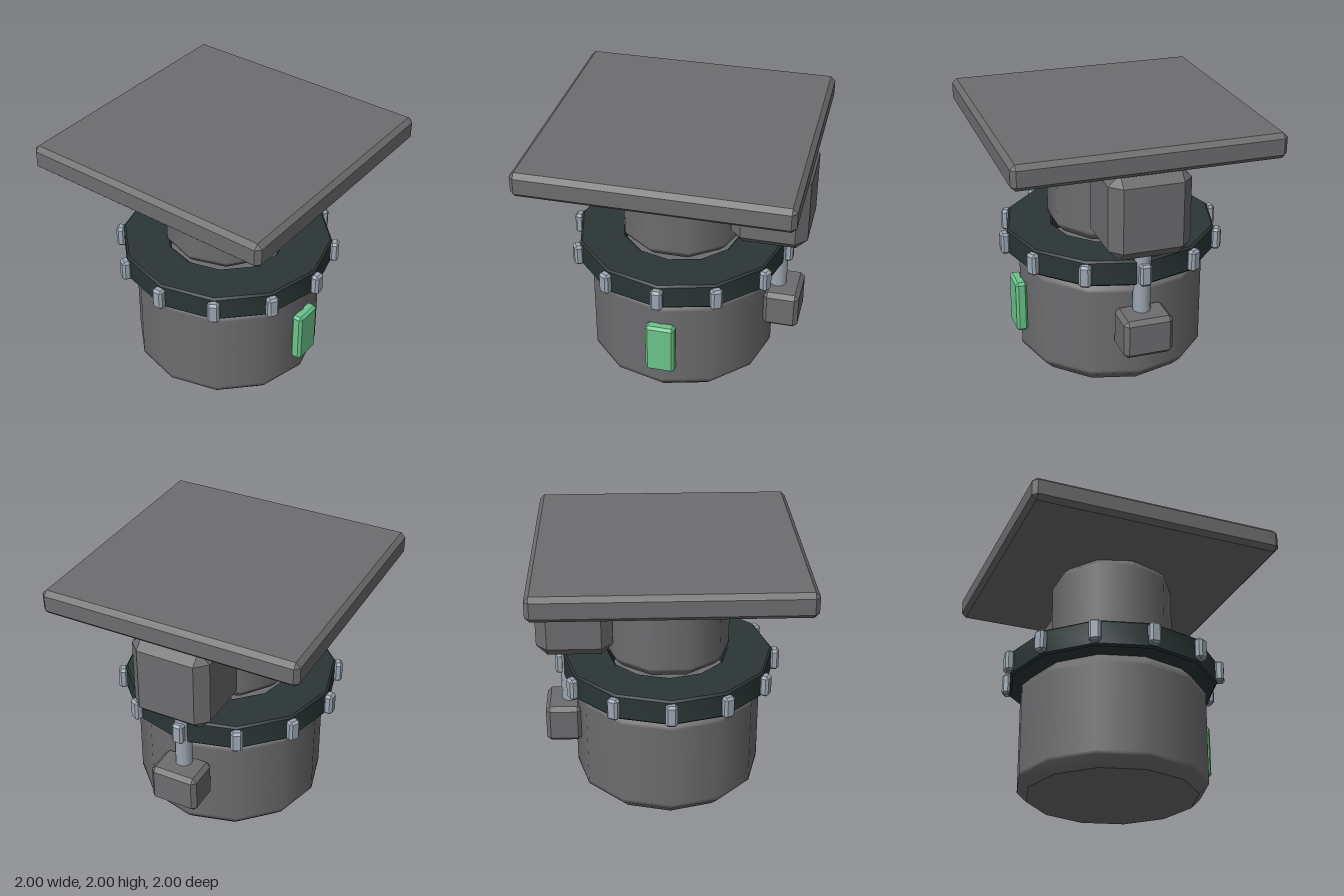
import * as THREE from 'three';
import { toCreasedNormals } from 'three/addons/utils/BufferGeometryUtils.js';
import { ConvexGeometry } from 'three/addons/geometries/ConvexGeometry.js';

const mat = (name, color) => {
  const m = new THREE.MeshStandardMaterial({ color });
  m.name = name;
  return m;
};

// Box with every edge chamfered by c, centred on the origin
function chamferBox(w, h, d, c) {
  const half = [w / 2, h / 2, d / 2];
  const points = [];
  for (const sx of [-1, 1]) for (const sy of [-1, 1]) for (const sz of [-1, 1])
    for (let full = 0; full < 3; full++) {
      const p = half.map((v, i) => (i === full ? v : v - c));
      points.push(new THREE.Vector3(p[0] * sx, p[1] * sy, p[2] * sz));
    }
  return new ConvexGeometry(points);
}

const lathe = (profile, sides) => new THREE.LatheGeometry(
  profile.map(([r, y]) => new THREE.Vector2(r, y)), sides, Math.PI / 2);

export function createModel() {
  const model = new THREE.Group();
  const grey = mat('body grey', 0x6d6d6f);
  const dark = mat('dark ring', 0x2b3636);
  const steel = mat('light steel', 0x9ca7b1);
  const green = mat('green panel', 0x6ac58a);

  const add = (name, geometry, material, x = 0, y = 0, z = 0, parent = model) => {
    const mesh = new THREE.Mesh(geometry, material);
    mesh.name = name;
    mesh.position.set(x, y, z);
    parent.add(mesh);
    return mesh;
  };

  // Smooth drum with chamfered rims and flat caps
  const drum = (name, r, y0, y1, c, sides, material, x = 0) => {
    const group = new THREE.Group();
    group.name = name;
    group.position.x = x;
    model.add(group);
    const e = c * 0.4;
    add(name + 'Wall', lathe([[r - c, y0], [r, y0 + c], [r, y0 + c + e],
      [r, y1 - c - e], [r, y1 - c], [r - c, y1]], sides), material, 0, 0, 0, group);
    for (const [y, s] of [[y0, 1], [y1, -1]]) {
      const cap = new THREE.CircleGeometry(r - c, sides).rotateX(s * Math.PI / 2);
      add(name + 'Cap', cap, material, 0, y, 0, group);
    }
  };

  // Main stack
  drum('baseDrum', 0.73, 0, 0.88, 0.075, 12, grey);
  drum('neckDrum', 0.48, 1.07, 1.82, 0.055, 10, grey);
  add('topPlate', chamferBox(2, 0.19, 2, 0.035), grey, 0, 1.905, 0);

  // Collar ring with a small chamfer on its edges
  const ring = lathe([[0.46, 0.89], [0.475, 0.875], [0.805, 0.875], [0.82, 0.89],
    [0.82, 1.065], [0.805, 1.08], [0.475, 1.08], [0.46, 1.065], [0.46, 0.89]], 12);
  add('collarRing', toCreasedNormals(ring, 0.6), dark);

  // Studs around the collar
  const studs = new THREE.Group();
  studs.name = 'collarStuds';
  model.add(studs);
  const studGeometry = chamferBox(0.09, 0.17, 0.07, 0.018);
  for (let i = 0; i < 12; i++) {
    const a = i * Math.PI / 6;
    add('stud', studGeometry, steel, Math.sin(a) * 0.84, 0.977, Math.cos(a) * 0.84, studs)
      .rotation.y = a;
  }

  // Side actuator: motor housing, rod and foot
  add('motorHousing', chamferBox(0.58, 0.66, 0.615, 0.085), grey, 0.71, 1.49, 0);
  drum('actuatorRod', 0.067, 0.64, 1.165, 0.012, 10, steel, 0.77);
  add('actuatorFoot', chamferBox(0.28, 0.305, 0.38, 0.033), grey, 0.82, 0.507, 0);

  // Front panel
  add('frontPanel', chamferBox(0.225, 0.42, 0.09, 0.02), green, 0, 0.448, 0.746);

  return model;
}
